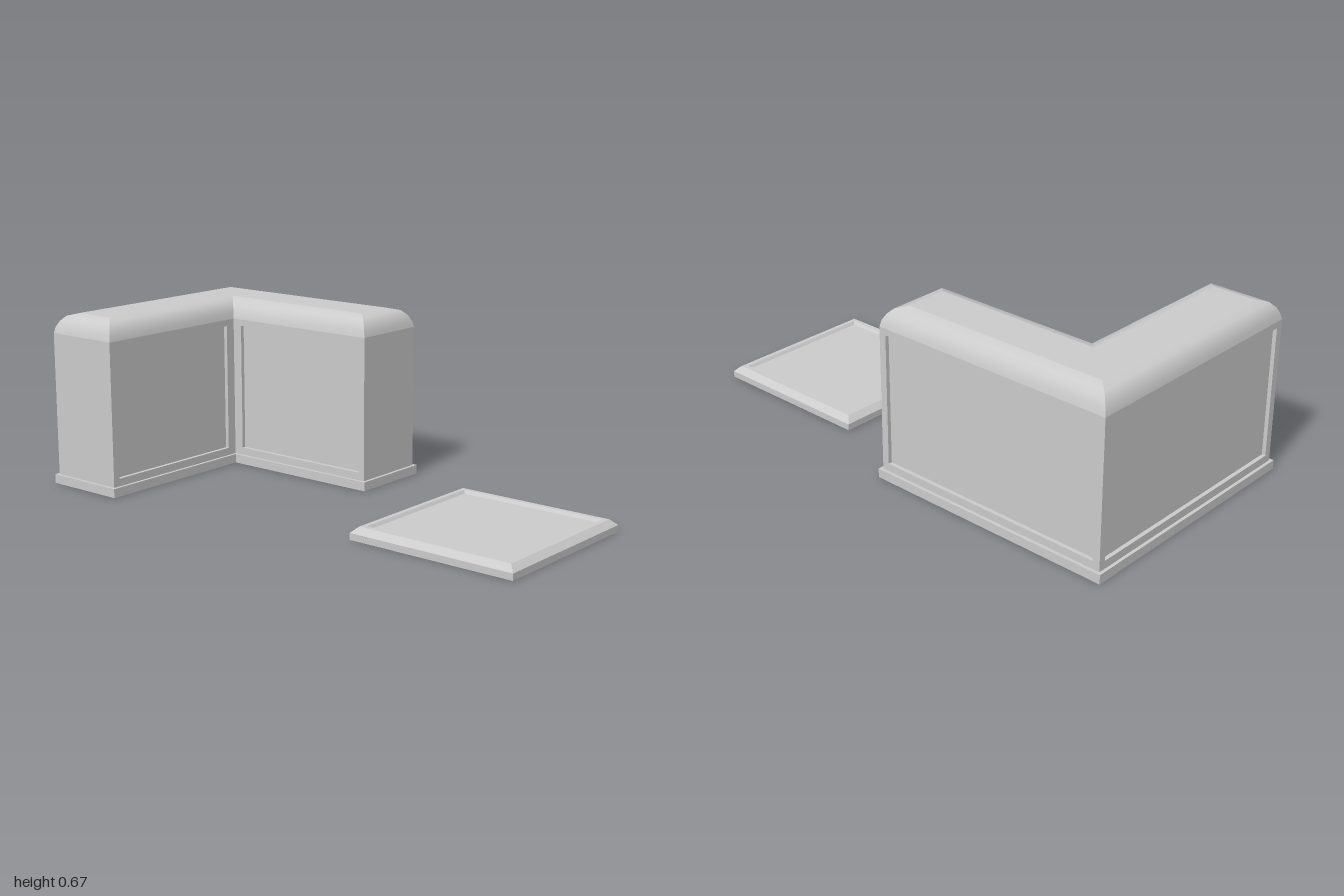
import * as THREE from 'three';

const smooth = new THREE.MeshStandardMaterial({ color: 0xcccccc, side: THREE.DoubleSide });
const flat = new THREE.MeshStandardMaterial({ color: 0xcccccc, side: THREE.DoubleSide, flatShading: true });

// Outline corners are [x, z, inset direction x, inset direction z]
const rect = (x0, x1, z0, z1) => [
  [x0, z1, 1, -1], [x1, z1, -1, -1], [x1, z0, -1, 1], [x0, z0, 1, 1],
];
const L_OUTLINE = [
  [-1, 0.5, 1, -1], [-0.667, 0.5, -1, -1], [-0.667, -0.167, -1, -1],
  [0, -0.167, -1, -1], [0, -0.5, -1, 1], [-1, -0.5, 1, 1],
];
const inset = (outline, d) => outline.map(([x, z, sx, sz]) => [x + sx * d, z + sz * d]);

// Sweeps an [inset, y] profile round an outline, with a mitred edge at each corner
function band(outline, profile) {
  const pos = [], index = [];
  const rings = profile.map(([d]) => inset(outline, d));
  outline.forEach((_, i) => {
    const j = (i + 1) % outline.length, start = pos.length / 3;
    profile.forEach(([, y], k) => {
      const a = rings[k][i], b = rings[k][j];
      pos.push(a[0], y, a[1], b[0], y, b[1]);
      if (k) {
        const p = start + 2 * (k - 1);
        index.push(p, p + 1, p + 3, p, p + 3, p + 2);
      }
    });
  });
  const g = new THREE.BufferGeometry();
  g.setAttribute('position', new THREE.Float32BufferAttribute(pos, 3));
  g.setIndex(index);
  g.computeVertexNormals();
  return g;
}

// Flat lid over an outline
function cap(outline, d, y) {
  const pts = inset(outline, d).map(([x, z]) => new THREE.Vector2(x, -z));
  return new THREE.ShapeGeometry(new THREE.Shape(pts)).rotateX(-Math.PI / 2).translate(0, y, 0);
}

function add(parent, name, geometry, material = flat) {
  const mesh = new THREE.Mesh(geometry, material);
  mesh.name = name;
  parent.add(mesh);
}

// Upright wall from a to b, with an optional recessed panel
function wall(a, b, y0, y1, margins) {
  const g = new THREE.Group();
  g.name = 'wall';
  const dx = b[0] - a[0], dz = b[1] - a[1], len = Math.hypot(dx, dz);
  const shape = new THREE.Shape([[0, y0], [len, y0], [len, y1], [0, y1]].map(p => new THREE.Vector2(...p)));
  if (margins) {
    const panel = rect(margins[0], len - margins[1], -0.565, -0.065);
    shape.holes.push(new THREE.Path(panel.map(([x, z]) => new THREE.Vector2(x, -z))));
    const depth = 0.015;
    add(g, 'panelRecess', band(panel, [[0, 0], [0, -depth]]).rotateX(Math.PI / 2));
    add(g, 'panel', cap(panel, 0, -depth).rotateX(Math.PI / 2));
  }
  add(g, 'wallFace', new THREE.ShapeGeometry(shape));
  g.position.set(a[0], 0, a[1]);
  g.rotation.y = Math.atan2(-dz, dx);
  return g;
}

export function createModel() {
  const model = new THREE.Group();

  // L-shaped block, open underneath
  const block = new THREE.Group();
  block.name = 'cornerBlock';
  model.add(block);
  const step = 0.012, baseTop = 0.035, wallTop = 0.59;
  add(block, 'plinth', band(L_OUTLINE, [[0, 0], [0, baseTop], [step, baseTop]]));

  // Walls: panels on the inner and outer faces, plain ends
  const corners = inset(L_OUTLINE, step);
  const margins = [null, [0.028, 0.04], [0.04, 0.026], null, [0.028, 0.028], [0.028, 0.028]];
  corners.forEach((a, i) => {
    block.add(wall(a, corners[(i + 1) % corners.length], baseTop, wallTop, margins[i]));
  });

  // Rounded top
  add(block, 'roundedTop', band(L_OUTLINE, [
    [step, wallTop], [0.018, 0.615], [0.03, 0.637], [0.048, 0.656], [0.085, 0.666],
  ]), smooth);
  add(block, 'topFace', cap(L_OUTLINE, 0.085, 0.666), smooth);

  // Separate square floor tile with bevelled rim and sunken centre
  const tile = new THREE.Group();
  tile.name = 'floorTile';
  model.add(tile);
  const square = rect(0.333, 1, -0.333, 0.333);
  add(tile, 'tileRim', band(square, [[0, 0], [0, 0.025], [0.023, 0.047], [0.041, 0.047], [0.05, 0.036]]));
  add(tile, 'tileCentre', cap(square, 0.05, 0.036));

  return model;
}
